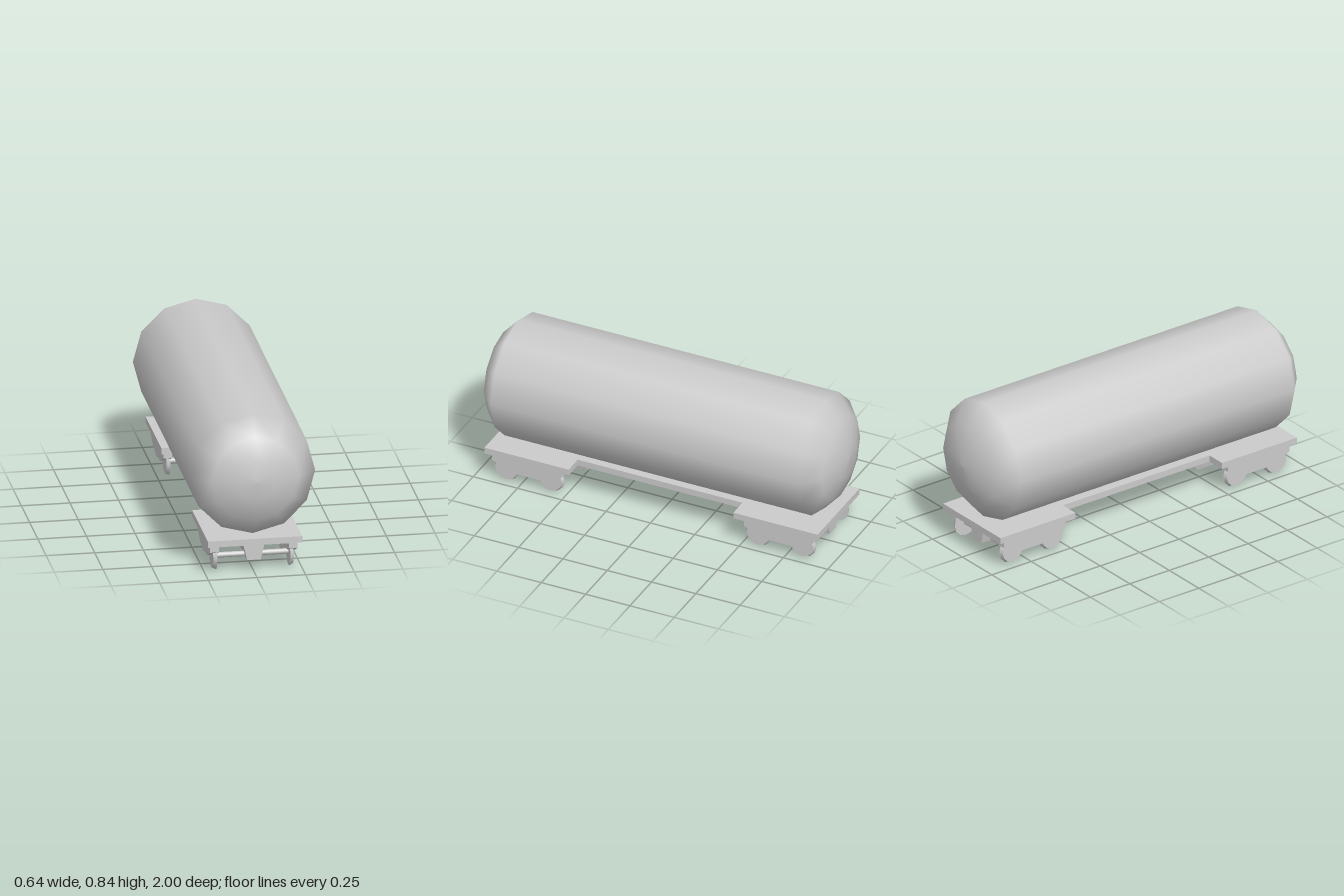
import * as THREE from 'three';

const smooth = new THREE.MeshStandardMaterial({ color: 0xcccccc });
const flat = new THREE.MeshStandardMaterial({ color: 0xcccccc, flatShading: true });

function add(parent, name, geometry, material = flat) {
  const mesh = new THREE.Mesh(geometry, material);
  mesh.name = name;
  parent.add(mesh);
  return mesh;
}

function polygon(points) {
  return new THREE.Shape(points.map(([x, y]) => new THREE.Vector2(x, y)));
}

// Twelve-sided tank with domed ends, lying along z
function tankGeometry() {
  const dome = [[0.322, 0.866], [0.225, 0.952], [0.1, 0.993], [0, 1]];
  const profile = [
    ...dome.slice().reverse().map(([r, z]) => new THREE.Vector2(r, -z)),
    ...dome.map(([r, z]) => new THREE.Vector2(r, z)),
  ];
  return new THREE.LatheGeometry(profile, 12).rotateX(Math.PI / 2);
}

// Deck outline: wide platforms at both ends, narrow walkway between
function deckGeometry() {
  const half = [[0.243, -0.94], [0.243, -0.465], [0.138, -0.465], [0.138, 0.465], [0.243, 0.465], [0.243, 0.94]];
  const outline = [...half, ...half.slice().reverse().map(([x, z]) => [-x, z])];
  return new THREE.ExtrudeGeometry(polygon(outline), { depth: 0.034, bevelEnabled: false })
    .rotateX(-Math.PI / 2).translate(0, 0.153, 0);
}

// Tapered centre beam, deep over the bogies and shallow in the middle
function beamGeometry() {
  const sections = [[-0.907, 0.063], [-0.465, 0.063], [-0.385, 0.115], [0.385, 0.115], [0.465, 0.063], [0.907, 0.063]];
  const positions = [], index = [];
  for (const [z, y] of sections) {
    positions.push(-0.056, 0.153, z, -0.035, y, z, 0.035, y, z, 0.056, 0.153, z);
  }
  const last = (sections.length - 1) * 4;
  for (let s = 0; s < last; s += 4) {
    for (let i = 0; i < 4; i++) {
      const a = s + i, b = s + (i + 1) % 4;
      index.push(a, b, b + 4, a, b + 4, a + 4);
    }
  }
  index.push(0, 2, 1, 0, 3, 2, last, last + 1, last + 2, last, last + 2, last + 3);
  const geometry = new THREE.BufferGeometry();
  geometry.setAttribute('position', new THREE.Float32BufferAttribute(positions, 3));
  geometry.setIndex(index);
  geometry.computeVertexNormals();
  return geometry;
}

// Two side frames, two axles and four coned wheels
function createBogie() {
  const bogie = new THREE.Group();
  const frame = new THREE.ExtrudeGeometry(
    polygon([[-0.195, 0.145], [-0.195, 0.113], [-0.095, 0.065], [0.095, 0.065], [0.195, 0.113], [0.195, 0.145]]),
    { depth: 0.045, bevelEnabled: false },
  ).rotateY(-Math.PI / 2).translate(0.0225, 0, 0);
  const axle = new THREE.CylinderGeometry(0.014, 0.014, 0.39, 10).rotateZ(Math.PI / 2);

  for (const side of [-1, 1]) {
    add(bogie, 'sideFrame', frame).position.x = side * 0.2025;
    const wheel = new THREE.CylinderGeometry(0.063, 0.072, 0.019, 12).rotateZ(-side * Math.PI / 2);
    for (const z of [-0.125, 0.125]) {
      add(bogie, 'wheel', wheel, smooth).position.set(side * 0.1975, 0.072, z);
    }
  }
  for (const z of [-0.125, 0.125]) {
    add(bogie, 'axle', axle, smooth).position.set(0, 0.074, z);
  }
  return bogie;
}

export function createModel() {
  const model = new THREE.Group();
  model.name = 'tankWagon';
  add(model, 'tank', tankGeometry(), smooth).position.y = 0.514;
  add(model, 'deck', deckGeometry());
  add(model, 'centreBeam', beamGeometry());
  for (const end of [-1, 1]) {
    const bogie = createBogie();
    bogie.name = end > 0 ? 'frontBogie' : 'rearBogie';
    bogie.position.z = end * 0.71;
    model.add(bogie);
  }
  return model;
}
